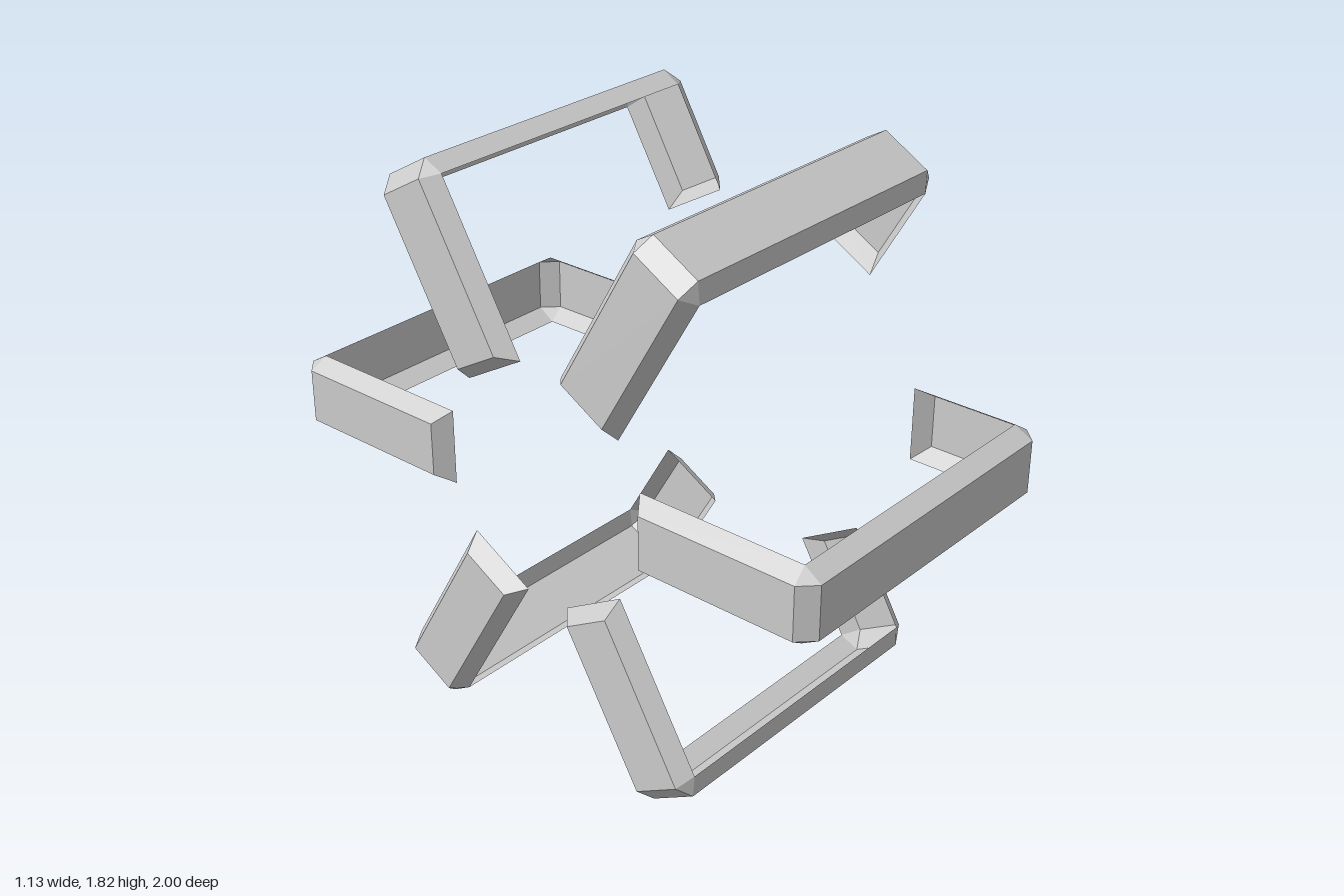
import * as THREE from 'three';

// Open C-shaped tray: a narrow outer floor with flared sides, chamfered corners and closed tips.
function bracketGeometry() {
  const floorHalf = 0.087, rimHalf = 0.123;
  // [x, z] stations from the short arm (+x) round to the long arm (-x)
  const floor = [[0.565, 0.625], [0.565, 0.95], [0.515, 1], [-0.515, 1], [-0.565, 0.95], [-0.565, 0.41]];
  const rim = [[0.51, 0.585], [0.51, 0.94], [0.51, 0.94], [-0.51, 0.94], [-0.51, 0.94], [-0.51, 0.37]];
  const positions = [];
  const at = ([x, z], y) => [x, y, z];
  const tri = (a, b, c) => positions.push(...a, ...b, ...c);
  const quad = (a, b, c, d) => { tri(a, b, c); tri(a, c, d); };

  const last = floor.length - 1;
  for (let i = 0; i < last; i++) {
    const p = floor[i], q = floor[i + 1], r = rim[i], s = rim[i + 1];
    quad(at(p, -floorHalf), at(p, floorHalf), at(q, floorHalf), at(q, -floorHalf));
    const isCorner = r[0] === s[0] && r[1] === s[1];
    // flared sides; at a corner chamfer they shrink to a triangle
    tri(at(p, floorHalf), at(r, rimHalf), at(q, floorHalf));
    tri(at(q, -floorHalf), at(r, -rimHalf), at(p, -floorHalf));
    if (!isCorner) {
      tri(at(r, rimHalf), at(s, rimHalf), at(q, floorHalf));
      tri(at(q, -floorHalf), at(s, -rimHalf), at(r, -rimHalf));
    }
  }
  // slanted tips of both arms
  quad(at(rim[0], -rimHalf), at(rim[0], rimHalf), at(floor[0], floorHalf), at(floor[0], -floorHalf));
  quad(at(floor[last], -floorHalf), at(floor[last], floorHalf), at(rim[last], rimHalf), at(rim[last], -rimHalf));

  const geometry = new THREE.BufferGeometry();
  geometry.setAttribute('position', new THREE.Float32BufferAttribute(positions, 3));
  geometry.computeVertexNormals();
  return geometry;
}

export function createModel() {
  const model = new THREE.Group();
  model.name = 'bracketRing';
  const material = new THREE.MeshStandardMaterial({
    color: 0xcccccc, flatShading: true, side: THREE.DoubleSide,
  });
  const geometry = bracketGeometry();

  // six identical brackets around the x axis
  for (let i = 0; i < 6; i++) {
    const bracket = new THREE.Mesh(geometry, material);
    bracket.name = `bracket${i + 1}`;
    bracket.rotation.x = (i * Math.PI) / 3;
    bracket.position.y = 0.91;
    model.add(bracket);
  }
  return model;
}
